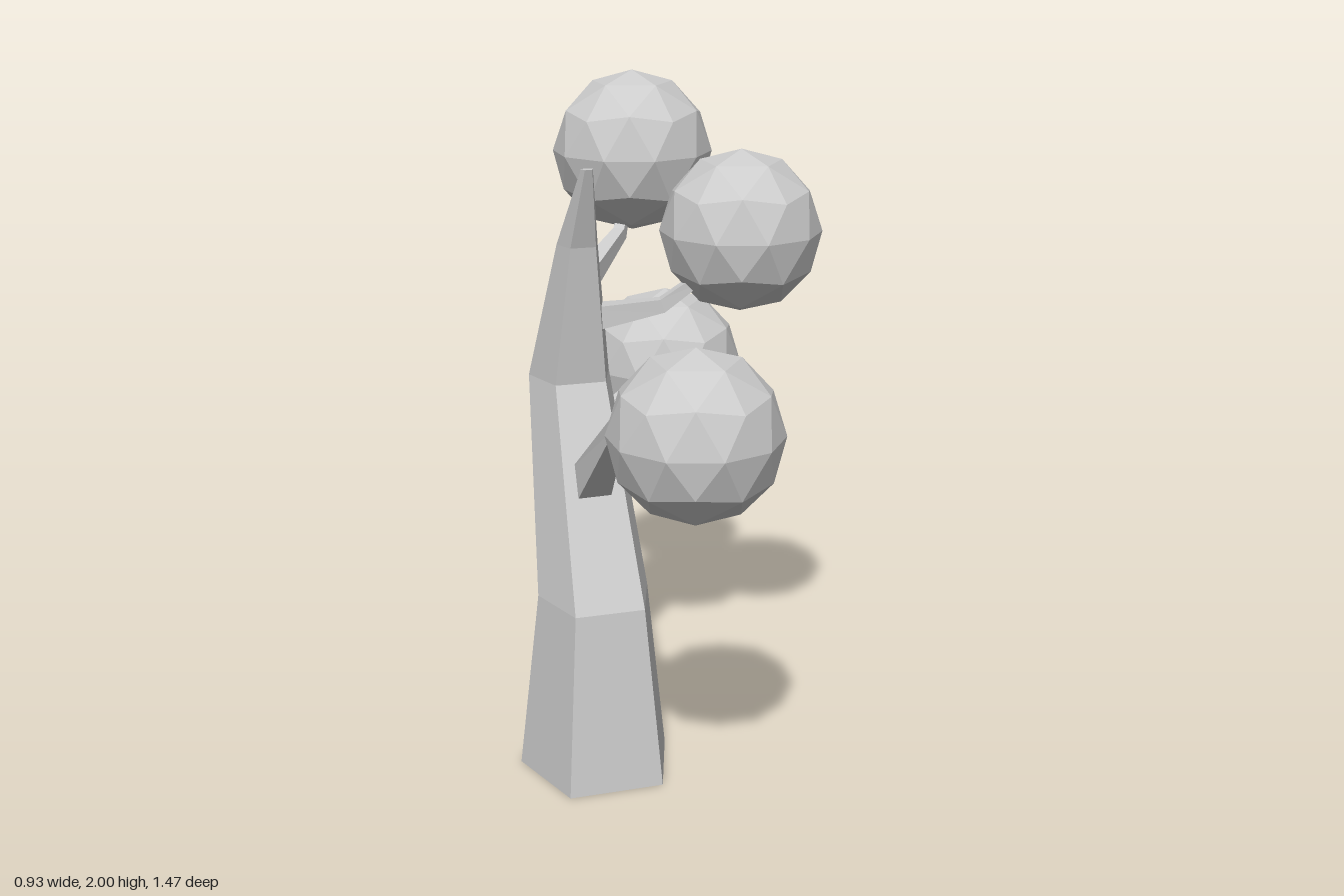
import * as THREE from 'three';

const material = new THREE.MeshStandardMaterial({ color: 0xcccccc, flatShading: true });

// Skin a series of equal-sized vertex rings and cap both ends
function loft(rings) {
  const pos = [];
  const tri = (...pts) => pts.forEach(p => pos.push(p.x, p.y, p.z));
  const n = rings[0].length;
  for (let r = 0; r < rings.length - 1; r++) {
    const a = rings[r], b = rings[r + 1];
    for (let i = 0; i < n; i++) {
      const j = (i + 1) % n;
      tri(a[i], a[j], b[j]);
      tri(a[i], b[j], b[i]);
    }
  }
  const first = rings[0], last = rings[rings.length - 1];
  for (let i = 1; i < n - 1; i++) {
    tri(first[0], first[i + 1], first[i]);
    tri(last[0], last[i], last[i + 1]);
  }
  const geo = new THREE.BufferGeometry();
  geo.setAttribute('position', new THREE.Float32BufferAttribute(pos, 3));
  geo.computeVertexNormals();
  return geo;
}

// Regular ring of n points around centre c, spanned by axes v and u
function ring(c, v, u, radius, n, start) {
  return Array.from({ length: n }, (_, i) => {
    const a = start + (i * 2 * Math.PI) / n;
    return c.clone().addScaledVector(v, Math.cos(a) * radius).addScaledVector(u, Math.sin(a) * radius);
  });
}

const X = new THREE.Vector3(1, 0, 0), Y = new THREE.Vector3(0, 1, 0), Z = new THREE.Vector3(0, 0, 1);

// Square tapered branch through a few points, widths given per point
function branchGeometry(points, widths) {
  const pts = points.map(p => new THREE.Vector3(...p));
  return loft(pts.map((p, i) => {
    const dir = pts[Math.min(i + 1, pts.length - 1)].clone().sub(pts[Math.max(i - 1, 0)]).normalize();
    const u = dir.clone().cross(Y).normalize();
    const v = u.clone().cross(dir);
    return ring(p, v, u, widths[i] * Math.SQRT1_2, 4, Math.PI / 4);
  }));
}

export function createModel() {
  const group = new THREE.Group();
  const add = (name, geo) => {
    const mesh = new THREE.Mesh(geo, material);
    mesh.name = name;
    group.add(mesh);
    return mesh;
  };

  // Bent five-sided trunk: height, z centre, radius
  const trunk = [
    [0, 0.013, 0.237],
    [0.54, 0.014, 0.174],
    [1.14, -0.25, 0.128],
    [1.55, -0.145, 0.063],
    [1.78, -0.035, 0.018],
  ];
  add('trunk', loft(trunk.map(([y, z, r]) =>
    ring(new THREE.Vector3(-0.243, y, z), Z, X, r, 5, Math.PI))));

  // Branches, each reaching into its foliage ball
  add('frontBranch', branchGeometry(
    [[-0.245, 0.87, -0.04], [-0.24, 1.15, 0.27], [-0.2, 1.17, 0.36]], [0.1, 0.035, 0.025]));
  add('lowerBackBranch', branchGeometry(
    [[-0.23, 0.92, -0.19], [0.0, 1.03, -0.38], [0.05, 1.06, -0.43]], [0.11, 0.06, 0.05]));
  add('sideBranch', branchGeometry(
    [[-0.22, 1.32, -0.2], [0.0, 1.36, -0.135], [0.12, 1.44, -0.13]], [0.075, 0.04, 0.03]));
  add('upperBackBranch', branchGeometry(
    [[-0.22, 1.44, -0.17], [-0.06, 1.53, -0.37], [-0.03, 1.6, -0.42]], [0.06, 0.035, 0.025]));

  // Faceted foliage balls, turned so that a corner points straight up
  const ball = new THREE.IcosahedronGeometry(0.237, 1);
  ball.rotateZ(-Math.atan(2 / (1 + Math.sqrt(5))));
  const foliage = {
    topFoliage: [0, 1.763, -0.44],
    sideFoliage: [0.24, 1.563, -0.14],
    frontFoliage: [-0.1, 1.163, 0.497],
    backFoliage: [0.118, 1.085, -0.497],
  };
  for (const [name, p] of Object.entries(foliage)) add(name, ball).position.set(...p);

  return group;
}
